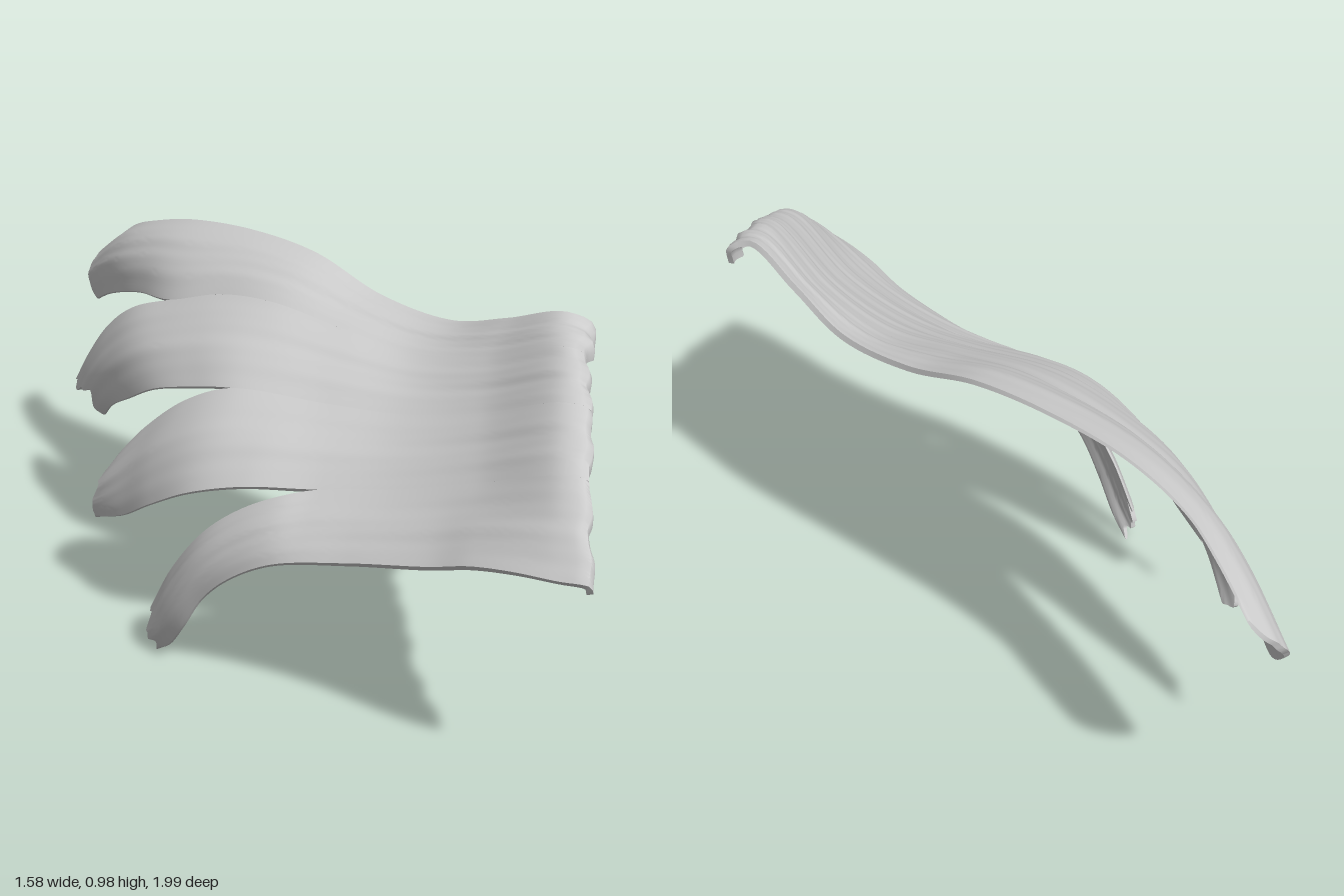
import * as THREE from 'three';
import { toCreasedNormals } from 'three/addons/utils/BufferGeometryUtils.js';

const ROWS = 90, COLS = 28;
const { smoothstep } = THREE.MathUtils;

// Seams running from the gathered root to where neighbouring strips part
const backEdge = [[.772, .90, .215], [.77, .955, .2], [.7, .985, .195], [.55, .92, .08], [.4, .86, -.05], [.2, .87, -.2],
  [0, .935, -.35], [-.2, .95, -.49], [-.4, .93, -.63], [-.55, .88, -.76], [-.63, .83, -.87], [-.735, .725, -1.02]];
const seamA = [[.748, .9, .36], [.748, .937, .365], [.7, .952, .355], [.5, .852, .19], [.3, .803, .055], [.1, .825, -.05],
  [-.1, .85, -.16], [-.26, .83, -.26], [-.42, .775, -.35]];
const seamB = [[.765, .825, .55], [.763, .868, .55], [.7, .878, .535], [.5, .775, .38], [.3, .715, .27], [.1, .7, .19], [-.17, .695, .1]];
const seamC = [[.76, .745, .77], [.76, .785, .77], [.7, .787, .755], [.5, .685, .6], [.3, .61, .5], [.1, .565, .43]];
const frontEdge = [[.78, .607, .985], [.772, .632, 1.0], [.7, .627, .972], [.6, .613, .912], [.5, .585, .842], [.4, .54, .77],
  [.2, .48, .66], [0, .42, .575], [-.12, .34, .515], [-.2, .25, .465], [-.26, .14, .42], [-.31, .05, .36], [-.355, .0, .305]];

// Each strip: back rail, front rail, crown at the tip, depth of the torn end, rounding of the end corners
const strips = [
  ['topStrip', backEdge,
    [...seamA, [-.55, .735, -.52], [-.68, .66, -.71], [-.785, .56, -.91]], .042, .004, .03],
  ['upperStrip', [...seamA, [-.55, .715, -.44], [-.65, .62, -.53], [-.73, .5, -.595], [-.785, .395, -.64]],
    [...seamB, [-.3, .66, .02], [-.42, .61, -.075], [-.52, .53, -.19], [-.6, .45, -.32], [-.65, .37, -.43]], .028, .045, 0],
  ['lowerStrip', [...seamB, [-.3, .64, .06], [-.42, .54, .015], [-.5, .45, -.01], [-.55, .38, -.03]],
    [...seamC, [-.1, .54, .385], [-.25, .49, .33], [-.38, .4, .23], [-.48, .31, .12], [-.585, .24, 0]], .026, .02, 0],
  ['bottomStrip', [...seamC, [0, .54, .43], [-.1, .49, .41], [-.2, .41, .385], [-.3, .27, .335], [-.372, .12, .285]],
    frontEdge, .025, .04, 0],
];

const rail = pts => new THREE.CatmullRomCurve3(pts.map(p => new THREE.Vector3(...p)));

// Torn, uneven end: 0 at the rails, deeper between them
function tear(v, seed) {
  const n = Math.sin(v * 9 + seed) + .4 * Math.sin(v * 23 + seed * 2.3);
  return Math.max(0, Math.sin(Math.PI * v) * (.5 + .5 * n));
}

// A closed cloth shell lofted between two rails
function stripGeometry(railA, railB, crown, torn, round, seed) {
  const a = rail(railA), b = rail(railB);
  a.arcLengthDivisions = b.arcLengthDivisions = 400;

  const base = (u, v) => a.getPointAt(u).lerp(b.getPointAt(u), v);
  const normalAt = (u, v) => {
    const along = base(Math.min(1, u + .015), v).sub(base(Math.max(0, u - .015), v));
    const across = b.getPointAt(u).sub(a.getPointAt(u));
    return along.cross(across).normalize();
  };

  const positions = [], index = [], ring = 2 * (COLS + 1);
  for (let i = 0; i <= ROWS; i++) {
    const upper = [], lower = [];
    for (let j = 0; j <= COLS; j++) {
      const v = j / COLS, t = i / ROWS;
      const u = t * (1 - torn * tear(v, seed) - round * (2 * v - 1) ** 4);
      const n = normalAt(u, v), s = Math.sin(Math.PI * v);
      const free = smoothstep(u, .25, .85);
      // Rounded crown growing towards the tip, with shallow lengthwise folds
      const fold = .002 * Math.sin(v * 13 + seed + u * 5) + .001 * Math.sin(v * 30 - u * 7 + seed * 3);
      const p = base(u, v).addScaledVector(n, s * (.003 + crown * free + fold));
      // Uneven gathers along the root
      p.x += .008 * s * Math.sin(v * 11 + seed * 2) * (1 - smoothstep(u, 0, .08));
      // Thin towards the free edges only
      const thick = .016 - .01 * free * (1 - Math.sqrt(s));
      upper.push(p);
      lower.push(p.clone().addScaledVector(n, -thick));
    }
    for (const p of [...upper, ...lower.reverse()]) positions.push(p.x, p.y, p.z);
  }
  for (let i = 0; i < ROWS; i++) for (let j = 0; j < ring; j++) {
    const k = (j + 1) % ring, p = i * ring, q = p + ring;
    index.push(p + j, q + j, p + k, p + k, q + j, q + k);
  }
  // Close the root and the torn tip
  const end = ROWS * ring;
  for (let j = 0; j < COLS; j++) {
    const t0 = j, t1 = j + 1, b0 = ring - 1 - j, b1 = ring - 2 - j;
    index.push(t0, t1, b0, t1, b1, b0);
    index.push(end + t0, end + b0, end + t1, end + t1, end + b0, end + b1);
  }
  const g = new THREE.BufferGeometry();
  g.setAttribute('position', new THREE.Float32BufferAttribute(positions, 3));
  g.setIndex(index);
  return toCreasedNormals(g, 1);
}

export function createModel() {
  const group = new THREE.Group();
  group.name = 'tornCloth';
  const cloth = new THREE.MeshStandardMaterial({ color: 0xcccccc, side: THREE.DoubleSide });
  strips.forEach(([name, railA, railB, crown, torn, round], i) => {
    const mesh = new THREE.Mesh(stripGeometry(railA, railB, crown, torn, round, i * 1.7 + .6), cloth);
    mesh.name = name;
    group.add(mesh);
  });
  return group;
}
